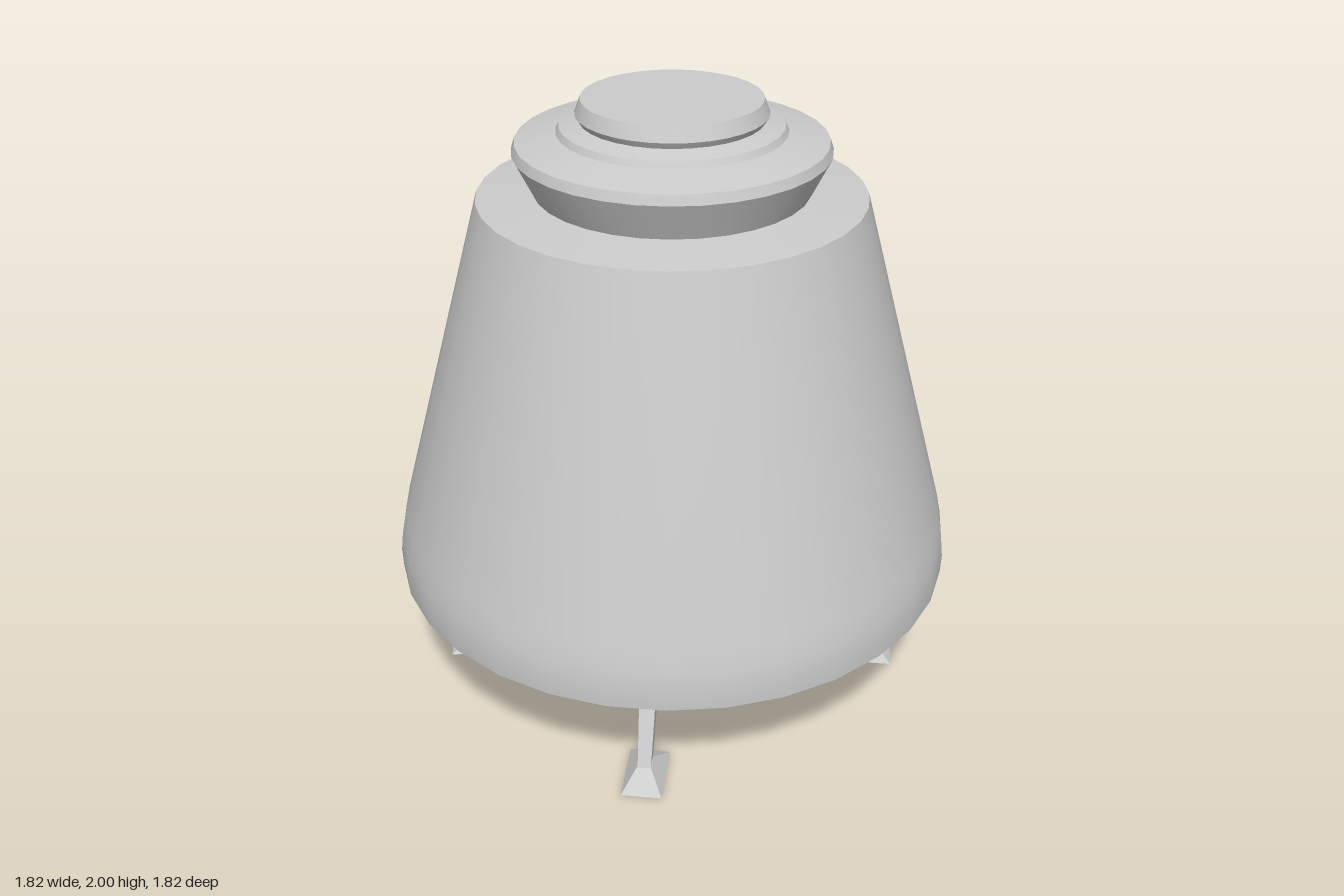
import * as THREE from 'three';
import { toCreasedNormals } from 'three/addons/utils/BufferGeometryUtils.js';

const material = new THREE.MeshStandardMaterial({ color: 0xcccccc });
const facetedMaterial = new THREE.MeshStandardMaterial({ color: 0xcccccc, flatShading: true });

// Surface of revolution with 32 sides, smooth except at sharp edges
function turned(name, profile) {
  const points = profile.map(([r, y]) => new THREE.Vector2(r, y));
  const geometry = toCreasedNormals(new THREE.LatheGeometry(points, 32), 0.45);
  const mesh = new THREE.Mesh(geometry, material);
  mesh.name = name;
  return mesh;
}

// Four-sided bar through rectangular sections [x, y, half width in x, half width in z], bottom to top
function bar(name, sections) {
  const positions = [], index = [0, 3, 2, 0, 2, 1];
  for (const [x, y, hx, hz] of sections) {
    positions.push(x + hx, y, hz, x + hx, y, -hz, x - hx, y, -hz, x - hx, y, hz);
  }
  for (let s = 0; s < sections.length - 1; s++) {
    for (let j = 0; j < 4; j++) {
      const a = s * 4 + j, b = s * 4 + (j + 1) % 4;
      index.push(a, b, b + 4, a, b + 4, a + 4);
    }
  }
  const t = (sections.length - 1) * 4;
  index.push(t, t + 1, t + 2, t, t + 2, t + 3);
  const geometry = new THREE.BufferGeometry();
  geometry.setAttribute('position', new THREE.Float32BufferAttribute(positions, 3));
  geometry.setIndex(index);
  geometry.computeVertexNormals();
  const mesh = new THREE.Mesh(geometry, facetedMaterial);
  mesh.name = name;
  return mesh;
}

// Splayed leg with a flared root and a pyramid foot, built along +x and turned to its place
function landingLeg(name, x, z, footLength, footWidth, ground) {
  const leg = new THREE.Group();
  leg.name = name;
  leg.add(
    bar('strut', [
      [0.7, 0.045, 0.024, 0.021],
      [0.58, 0.305, 0.038, 0.027],
      [0.61, 0.355, 0.07, 0.064],
    ]),
    bar('foot', [
      [0.69, ground, footLength, footWidth],
      [0.7, 0.055, 0.028, 0.023],
    ]),
  );
  leg.rotation.y = Math.atan2(-z, x);
  return leg;
}

export function createModel() {
  const model = new THREE.Group();
  model.name = 'landingCapsule';

  // Shallow underside and tapering hull wall
  model.add(turned('underside', [[0, 0.24], [0.19, 0.24], [0.53, 0.298], [0.67, 0.345], [0.91, 0.44]]));
  model.add(turned('hull', [
    [0.91, 0.44], [0.912, 0.5], [0.905, 0.56], [0.89, 0.63], [0.6, 1.7], [0.425, 1.72],
  ]));

  // Flaring collar and stepped hatch
  model.add(turned('collar', [
    [0.425, 1.72], [0.485, 1.842], [0.475, 1.873], [0.35, 1.9], [0.34, 1.92], [0.28, 1.935],
  ]));
  model.add(turned('hatch', [[0.28, 1.935], [0.292, 1.955], [0.275, 2], [0, 2]]));

  // Four legs, each a little off its axis
  model.add(
    landingLeg('frontLeg', -0.07, 0.69, 0.108, 0.064, 0),
    landingLeg('backLeg', 0.07, -0.69, 0.07, 0.045, 0.012),
    landingLeg('leftLeg', 0.69, 0.07, 0.08, 0.053, 0.012),
    landingLeg('rightLeg', -0.69, 0.055, 0.085, 0.053, 0.016),
  );
  return model;
}
